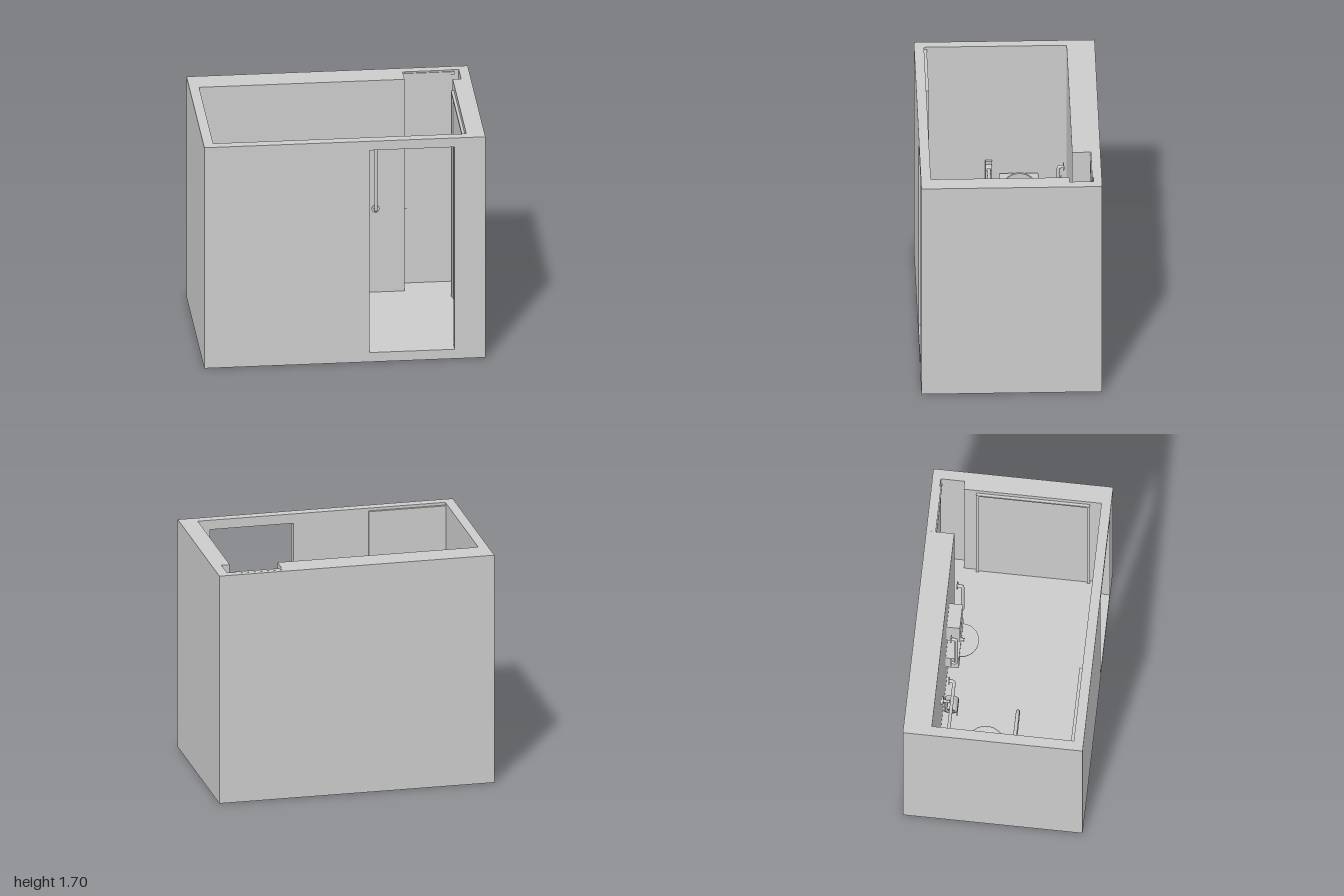
import * as THREE from 'three';
import { RoundedBoxGeometry } from 'three/addons/geometries/RoundedBoxGeometry.js';

const grey = new THREE.MeshStandardMaterial({ color: 0xcccccc, side: THREE.DoubleSide });
const white = new THREE.MeshStandardMaterial({ color: 0xfafafa, side: THREE.DoubleSide });

function add(parent, name, geometry, material = grey) {
  const mesh = new THREE.Mesh(geometry, material);
  mesh.name = name;
  parent.add(mesh);
  return mesh;
}

// Box given by its two opposite corners, optionally with rounded edges
function box(parent, name, a, b, material = grey, radius = 0) {
  const s = b.map((v, i) => v - a[i]);
  const geo = radius ? new RoundedBoxGeometry(...s, 3, radius) : new THREE.BoxGeometry(...s);
  const mesh = add(parent, name, geo, material);
  mesh.position.set(...b.map((v, i) => (v + a[i]) / 2));
  return mesh;
}

// Round bar running between two points
function rod(parent, name, a, b, r, material = grey) {
  const p = new THREE.Vector3(...a), q = new THREE.Vector3(...b);
  const mesh = add(parent, name, new THREE.CylinderGeometry(r, r, p.distanceTo(q), 20), material);
  mesh.position.copy(p).add(q).multiplyScalar(0.5);
  mesh.quaternion.setFromUnitVectors(new THREE.Vector3(0, 1, 0), q.sub(p).normalize());
  return mesh;
}

// Pipe with rounded bends: a curve path through straight legs
function pipe(parent, name, points, r, bend = 0.025) {
  const v = points.map((p) => new THREE.Vector3(...p));
  const path = new THREE.CurvePath();
  let start = v[0];
  for (let i = 1; i < v.length - 1; i++) {
    const before = v[i].clone().add(v[i - 1].clone().sub(v[i]).setLength(bend));
    const after = v[i].clone().add(v[i + 1].clone().sub(v[i]).setLength(bend));
    path.add(new THREE.LineCurve3(start, before));
    path.add(new THREE.QuadraticBezierCurve3(before, v[i], after));
    start = after;
  }
  path.add(new THREE.LineCurve3(start, v[v.length - 1]));
  return add(parent, name, new THREE.TubeGeometry(path, 90, r, 14, false));
}

// Smooth skin through egg-shaped level rings [y, centreX, halfX, halfZ]
function eggLoft(rings, cz, n = 40) {
  const pos = [], index = [];
  rings.forEach(([y, cx, rx, rz], j) => {
    for (let i = 0; i <= n; i++) {
      const t = (i / n) * Math.PI * 2;
      pos.push(cx + rx * Math.cos(t), y, cz - rz * Math.sin(t) * (1 + 0.12 * Math.cos(t)));
      if (j && i < n) {
        const a = (j - 1) * (n + 1) + i, b = a + n + 1;
        index.push(a, a + 1, b, b, a + 1, b + 1);
      }
    }
  });
  const geo = new THREE.BufferGeometry();
  geo.setAttribute('position', new THREE.Float32BufferAttribute(pos, 3));
  geo.setIndex(index);
  geo.computeVertexNormals();
  return geo;
}

function buildRoom(g) {
  box(g, 'floor', [-1, 0, -0.64], [1, 0.07, 0.64]);

  // Back and side walls, with the niche cut into the back corner
  const plan = [[-1, 0.64], [-1, -0.64], [1, -0.64], [1, 0.64], [0.87, 0.64], [0.87, -0.41],
    [0.93, -0.41], [0.93, -0.58], [0.53, -0.58], [0.53, -0.44], [-0.93, -0.44], [-0.93, 0.64]];
  const shape = new THREE.Shape(plan.map(([x, z]) => new THREE.Vector2(x, -z)));
  const walls = new THREE.ExtrudeGeometry(shape, { depth: 1.63, bevelEnabled: false });
  walls.rotateX(-Math.PI / 2).translate(0, 0.07, 0);
  add(g, 'backAndSideWalls', walls);

  // Front wall with the doorway
  const front = new THREE.Shape([[-0.93, 0.07], [0.87, 0.07], [0.87, 1.7], [-0.93, 1.7]]
    .map((p) => new THREE.Vector2(...p)));
  front.holes.push(new THREE.Path([[0.175, 0.072], [0.175, 1.63], [0.78, 1.63], [0.78, 0.072]]
    .map((p) => new THREE.Vector2(...p))));
  const frontGeo = new THREE.ExtrudeGeometry(front, { depth: 0.07, bevelEnabled: false });
  add(g, 'frontWall', frontGeo.translate(0, 0, 0.57));

  // Light board at the back of the niche, with its side frame
  box(g, 'nicheBoard', [0.53, 0.65, -0.605], [0.87, 1.701, -0.572], white);
  box(g, 'nicheBoardFrame', [0.54, 0.65, -0.574], [0.56, 1.69, -0.565], white);
  box(g, 'nicheBoardTopRail', [0.54, 1.67, -0.574], [0.9, 1.69, -0.565], white);

  // Panels lying on the inner faces of the side and front walls
  box(g, 'sidePanel', [0.86, 0.07, -0.31], [0.872, 1.64, 0.48]);
  for (const z of [-0.32, 0.47]) box(g, 'sidePanelStile', [0.85, 0.07, z], [0.872, 1.65, z + 0.02]);
  box(g, 'sidePanelTopRail', [0.85, 1.63, -0.32], [0.872, 1.65, 0.49]);
  box(g, 'frontPanel', [-0.932, 0.07, 0.55], [-0.37, 1.68, 0.572]);
}

// Grab rail along the back wall, standing off on two round flanges
function grabRail(g, name, a, b) {
  const rail = new THREE.Group();
  rail.name = name;
  const at = ([x, y], z) => [x, y, z];
  pipe(rail, 'rail', [at(a, -0.4), at(a, -0.358), at(b, -0.358), at(b, -0.4)], 0.012, 0.02);
  for (const p of [a, b]) rod(rail, 'flange', at(p, -0.4), at(p, -0.391), 0.028);
  g.add(rail);
}

function buildBasin(g) {
  const basin = new THREE.Group();
  basin.name = 'basin';
  box(basin, 'basinBack', [-0.04, 0.5, -0.44], [0.27, 0.685, -0.345], white);
  const bowl = new THREE.SphereGeometry(0.125, 32, 12, 0, Math.PI, Math.PI / 2, Math.PI / 2);
  add(basin, 'basinBowl', bowl.scale(1, 0.62, 1), white).position.set(0.115, 0.66, -0.345);
  const rim = new THREE.CircleGeometry(0.125, 32, Math.PI, Math.PI).rotateX(-Math.PI / 2);
  add(basin, 'basinTop', rim, white).position.set(0.115, 0.66, -0.345);
  rod(basin, 'tap', [0.115, 0.675, -0.36], [0.115, 0.675, -0.325], 0.012);
  g.add(basin);
  box(g, 'wallCabinet', [0.025, 0.875, -0.44], [0.205, 1.145, -0.345], white);
}

function buildToilet(g) {
  const toilet = new THREE.Group();
  toilet.name = 'toilet';
  const cz = -0.1;
  // Foot, outer bowl, rim and inner bowl in one skin
  add(toilet, 'bowl', eggLoft([
    [0.07, -0.66, 0.15, 0.075], [0.16, -0.65, 0.14, 0.07], [0.24, -0.63, 0.15, 0.09],
    [0.32, -0.6, 0.17, 0.12], [0.38, -0.595, 0.175, 0.135], [0.395, -0.595, 0.175, 0.137],
    [0.4, -0.595, 0.17, 0.133], [0.4, -0.575, 0.13, 0.093], [0.37, -0.578, 0.125, 0.09],
    [0.28, -0.595, 0.085, 0.065], [0.22, -0.615, 0.04, 0.035], [0.21, -0.615, 0.001, 0.001],
  ], cz));
  add(toilet, 'seat', eggLoft([
    [0.4, -0.575, 0.13, 0.093], [0.4, -0.597, 0.178, 0.138], [0.412, -0.597, 0.178, 0.138],
    [0.42, -0.597, 0.17, 0.13], [0.42, -0.577, 0.138, 0.1], [0.4, -0.575, 0.13, 0.093],
  ], cz));
  box(toilet, 'seatBridge', [-0.8, 0.3, -0.19], [-0.7, 0.405, -0.01], grey, 0.02);
  // Raised lid leaning on the cistern
  const lid = add(toilet, 'lid', new THREE.CylinderGeometry(0.135, 0.135, 0.018, 40));
  lid.rotation.z = Math.PI / 2;
  lid.scale.set(1.25, 1, 1);
  lid.position.set(-0.765, 0.58, cz);
  // Cistern with its cover and push button
  box(toilet, 'cistern', [-0.9, 0.34, -0.225], [-0.785, 0.64, 0.025], grey, 0.02);
  box(toilet, 'cisternCover', [-0.91, 0.63, -0.24], [-0.775, 0.665, 0.04], grey, 0.014);
  box(toilet, 'buttonPlate', [-0.855, 0.66, -0.17], [-0.8, 0.669, -0.03]);
  rod(toilet, 'flushButton', [-0.828, 0.665, cz], [-0.828, 0.675, cz], 0.018);
  g.add(toilet);
}

function buildPaperHolder(g) {
  const holder = new THREE.Group();
  holder.name = 'paperHolder';
  const y = 0.51, z = -0.37;
  rod(holder, 'wallMount', [-0.32, 0.565, -0.44], [-0.32, 0.565, -0.425], 0.03);
  rod(holder, 'mountPost', [-0.32, 0.565, -0.43], [-0.32, 0.565, -0.38], 0.01);
  pipe(holder, 'rollArm', [[-0.32, 0.565, -0.4], [-0.385, 0.565, -0.4], [-0.385, y, z], [-0.26, y, z]], 0.007, 0.015);
  // Hollow roll turned on its side
  const profile = [[0.018, -0.05], [0.048, -0.05], [0.048, 0.05], [0.018, 0.05], [0.018, -0.05]];
  const roll = new THREE.LatheGeometry(profile.map((p) => new THREE.Vector2(...p)), 32);
  add(holder, 'paperRoll', roll.rotateZ(Math.PI / 2)).position.set(-0.32, y, z);
  box(holder, 'looseSheet', [-0.37, 0.42, z + 0.045], [-0.27, y, z + 0.049]);
  g.add(holder);
}

// Fold-down support rail beside the toilet
function buildSupportRail(g) {
  const rail = new THREE.Group();
  rail.name = 'supportRail';
  const z = 0.113;
  box(rail, 'wallPlate', [-0.93, 0.5, 0.09], [-0.91, 0.76, 0.136]);
  box(rail, 'hinge', [-0.91, 0.56, 0.09], [-0.86, 0.74, 0.136], grey, 0.01);
  pipe(rail, 'railLoop', [[-0.9, 0.72, z], [-0.38, 0.72, z], [-0.38, 0.59, z], [-0.9, 0.59, z]], 0.013, 0.06);
  g.add(rail);
}

export function createModel() {
  const model = new THREE.Group();
  model.name = 'washroom';
  buildRoom(model);
  grabRail(model, 'leftGrabRail', [0.32, 0.73], [0.32, 1.21]);
  grabRail(model, 'rightGrabRail', [-0.085, 0.73], [-0.085, 1.21]);
  grabRail(model, 'horizontalGrabRail', [-0.7, 0.73], [-0.225, 0.73]);
  buildBasin(model);
  buildToilet(model);
  buildPaperHolder(model);
  buildSupportRail(model);
  return model;
}
